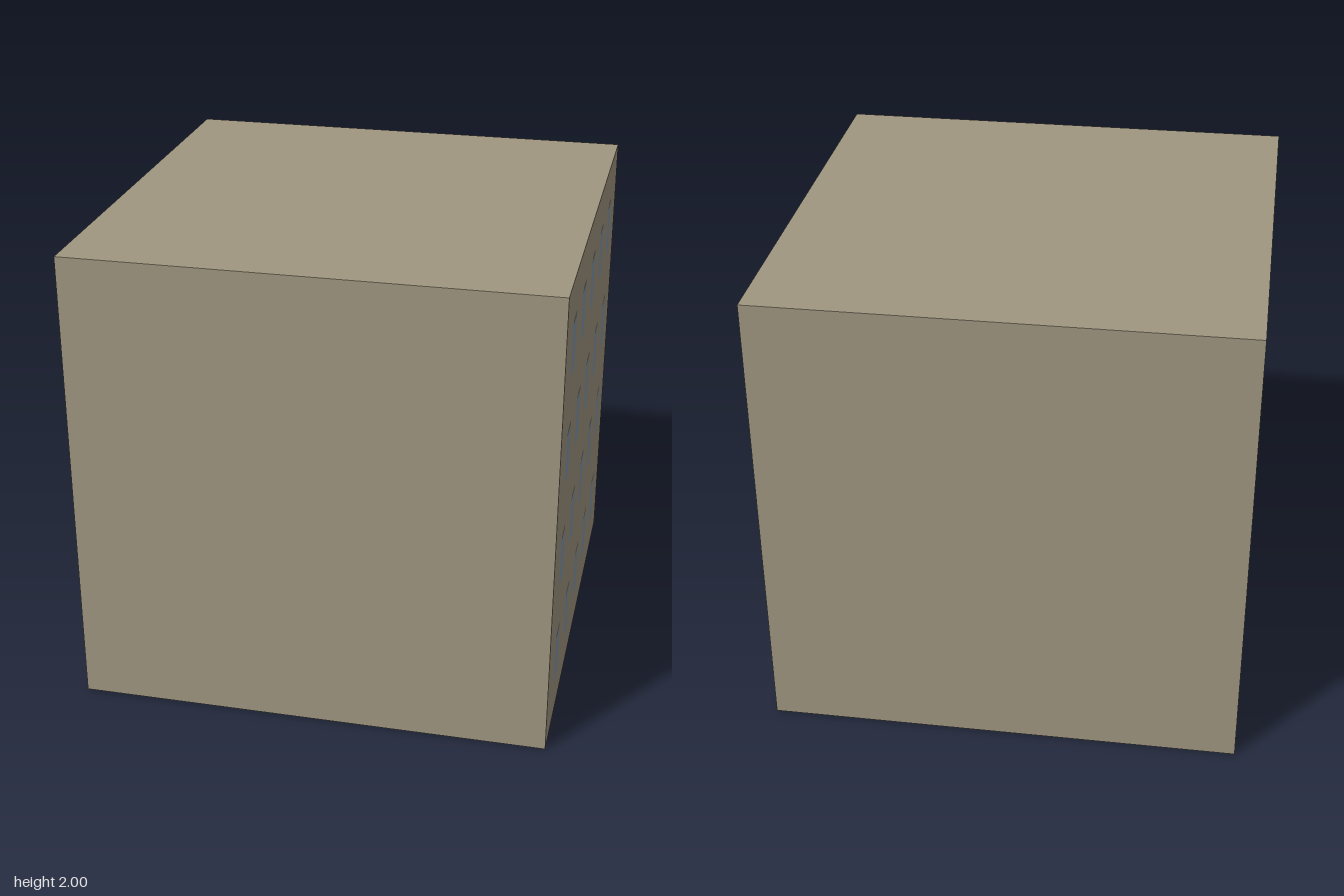
import * as THREE from 'three';

const mat = (name, color) =>
  new THREE.MeshStandardMaterial({ name, color, side: THREE.DoubleSide });

export function createModel() {
  const model = new THREE.Group();
  model.name = 'apartmentBlock';
  const plaster = mat('plaster', 0xa09680);
  const glass = mat('glass', 0x8298ac);
  const trim = mat('darkTrim', 0x706d62);

  const add = (parent, name, geometry, material) => {
    const mesh = new THREE.Mesh(geometry, material);
    mesh.name = name;
    parent.add(mesh);
    return mesh;
  };
  const outline = (pts, x, y) => pts.map(([a, b]) => new THREE.Vector2(a + x, b + y));

  // Window outlines, measured from the top centre of each window
  const W = 0.058, SPLIT = -0.026, BOTTOM = -0.242;
  const pane = [
    [-W, SPLIT], [-W, BOTTOM], [W - 0.008, BOTTOM], [W - 0.008, -0.19], [W, -0.165],
    [W - 0.008, -0.145], [W - 0.008, -0.09], [W, -0.07], [W, SPLIT],
  ];
  const lintel = [
    [-W, SPLIT], [W, SPLIT], [W, -0.012], [W - 0.014, 0], [-W + 0.014, 0], [-W, -0.012],
  ];
  const whole = [...pane, ...lintel.slice(2)];

  const DOOR_W = 0.1, DOOR_H = 0.275, DOOR_DEPTH = 0.022;

  // Side wall with flush windows and, if wanted, a recessed door
  function windowWall(name, hasDoor) {
    const wall = new THREE.Group();
    wall.name = name;
    const contour = [[-1, 0]];
    if (hasDoor) contour.push([-DOOR_W, 0], [-DOOR_W, DOOR_H], [DOOR_W, DOOR_H], [DOOR_W, 0]);
    contour.push([1, 0], [1, 2], [-1, 2]);
    const face = new THREE.Shape(outline(contour, 0, 0));

    for (let row = 0; row < 4; row++) {
      for (let col = -2; col <= 2; col++) {
        if (hasDoor && row === 0 && col === 0) continue;
        const x = col * 0.354, y = 0.41 + row * 0.47;
        face.holes.push(new THREE.Path(outline(whole, x, y)));
        add(wall, 'windowPane', new THREE.ShapeGeometry(new THREE.Shape(outline(pane, x, y))), glass);
        add(wall, 'windowLintel', new THREE.ShapeGeometry(new THREE.Shape(outline(lintel, x, y))), trim);
      }
    }
    add(wall, 'wallFace', new THREE.ShapeGeometry(face), plaster);

    if (hasDoor) {
      // Door panel set back, with its jambs and head
      add(wall, 'doorPanel', new THREE.PlaneGeometry(2 * DOOR_W, DOOR_H), trim)
        .position.set(0, DOOR_H / 2, -DOOR_DEPTH);
      for (const s of [-1, 1]) {
        const jamb = add(wall, 'doorJamb', new THREE.PlaneGeometry(DOOR_DEPTH, DOOR_H), trim);
        jamb.position.set(s * DOOR_W, DOOR_H / 2, -DOOR_DEPTH / 2);
        jamb.rotation.y = -s * Math.PI / 2;
      }
      const head = add(wall, 'doorHead', new THREE.PlaneGeometry(2 * DOOR_W, DOOR_DEPTH), trim);
      head.position.set(0, DOOR_H, -DOOR_DEPTH / 2);
      head.rotation.x = Math.PI / 2;
    }
    model.add(wall);
    return wall;
  }

  const left = windowWall('leftWall', false);
  left.position.x = 1;
  left.rotation.y = Math.PI / 2;

  const right = windowWall('rightWall', true);
  right.position.x = -1;
  right.rotation.y = -Math.PI / 2;

  // Blank walls and flat roof; the underside is open
  add(model, 'frontWall', new THREE.PlaneGeometry(2, 2), plaster).position.set(0, 1, 1);
  const back = add(model, 'backWall', new THREE.PlaneGeometry(2, 2), plaster);
  back.position.set(0, 1, -1);
  back.rotation.y = Math.PI;
  const roof = add(model, 'roof', new THREE.PlaneGeometry(2, 2), plaster);
  roof.position.y = 2;
  roof.rotation.x = -Math.PI / 2;

  return model;
}
